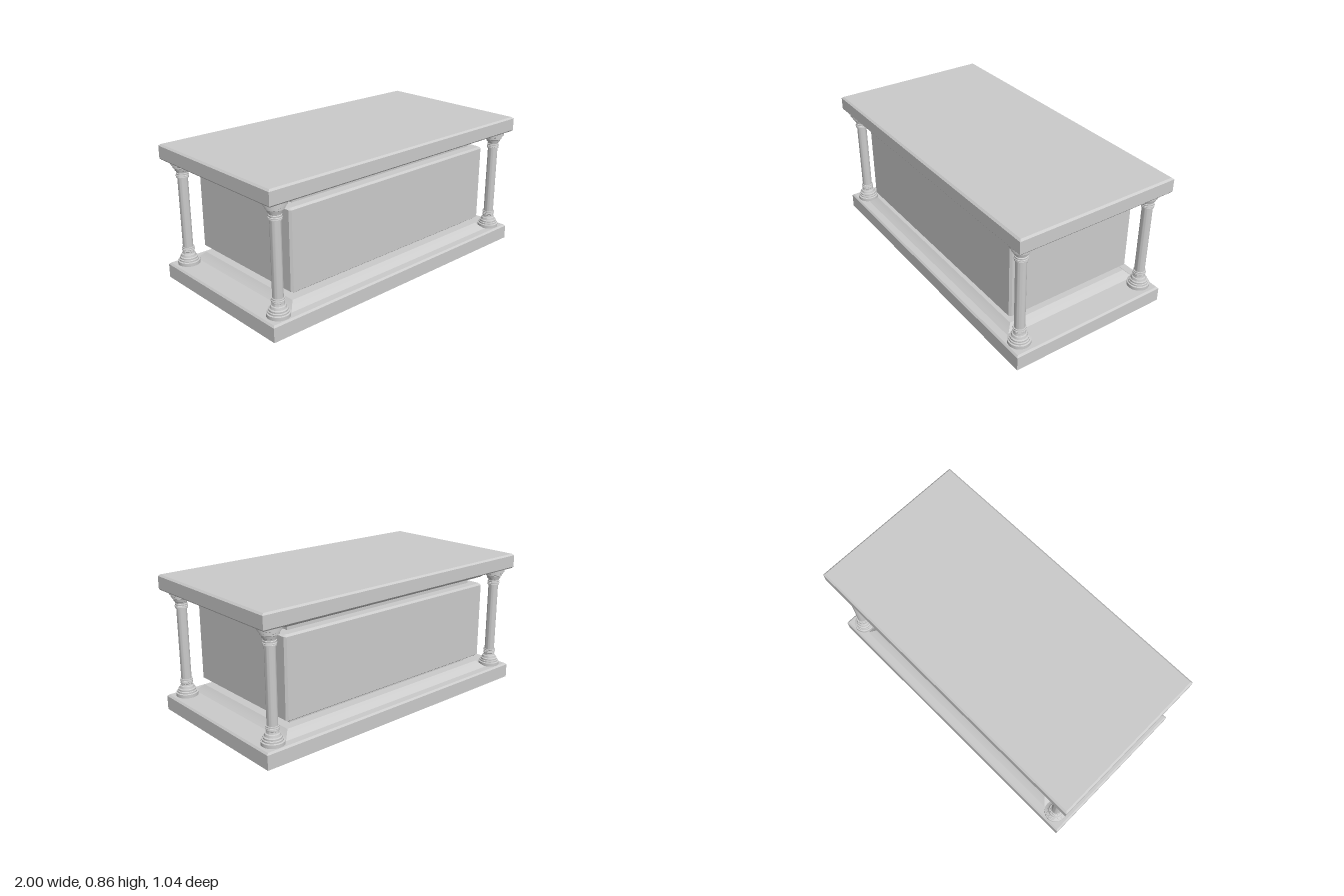
import * as THREE from 'three';
import { toCreasedNormals } from 'three/addons/utils/BufferGeometryUtils.js';

const material = new THREE.MeshStandardMaterial({ color: 0xcccccc, side: THREE.DoubleSide });

// Corners of a rectangle at height y, counter-clockwise from above; cut chamfers the corners
function ring([hx, hz, y], cut) {
  if (!cut) return [[hx, y, hz], [hx, y, -hz], [-hx, y, -hz], [-hx, y, hz]];
  const cx = hx - cut, cz = hz - cut;
  return [[cx, y, hz], [hx, y, cz], [hx, y, -cz], [cx, y, -hz],
    [-cx, y, -hz], [-hx, y, -cz], [-hx, y, cz], [-cx, y, hz]];
}

// Open shell through rectangular sections, listed from bottom to top
function shell(name, sections, { cut = 0, capped = false } = {}) {
  const rings = sections.map((s) => ring(s, cut));
  const n = rings[0].length;
  const pos = [];
  for (let i = 0; i < rings.length - 1; i++) {
    for (let j = 0; j < n; j++) {
      const k = (j + 1) % n;
      const a = rings[i][j], b = rings[i][k], c = rings[i + 1][k], d = rings[i + 1][j];
      pos.push(...a, ...b, ...c, ...a, ...c, ...d);
    }
  }
  if (capped) {
    const top = rings[rings.length - 1];
    for (let j = 1; j < n - 1; j++) pos.push(...top[0], ...top[j], ...top[j + 1]);
  }
  const geometry = new THREE.BufferGeometry();
  geometry.setAttribute('position', new THREE.Float32BufferAttribute(pos, 3));
  geometry.computeVertexNormals();
  const mesh = new THREE.Mesh(toCreasedNormals(geometry, 0.5), material);
  mesh.name = name;
  return mesh;
}

// Shallow cove from the slab (y0) towards the chest (y1)
function cove(y0, y1) {
  const out = [];
  for (let i = 0; i <= 4; i++) {
    const t = i / 4;
    const inset = 0.045 * (t + 0.2 * t * (1 - t));
    out.push([0.838 - inset, 0.467 - inset, y0 + (y1 - y0) * t]);
  }
  return out;
}

export function createModel() {
  const model = new THREE.Group();
  const HX = 1, HZ = 0.522, NX = 0.735, NZ = 0.364, CX = 0.8, CZ = 0.43;
  const LOW = 0.097, HIGH = 0.761;

  // Plinth, hollow below, with its cove moulding and lower neck
  model.add(shell('plinth', [
    [HX, HZ, 0], [HX, HZ, 0.087], [HX - 0.01, HZ - 0.01, LOW],
    ...cove(LOW, 0.139), [NX, NZ, 0.139], [NX, NZ, 0.179],
  ]));

  // Chest body with bevelled edges
  const b = 0.012;
  model.add(shell('chest', [
    [NX, NZ, 0.179], [CX - b, CZ - b, 0.179], [CX, CZ, 0.188],
    [CX, CZ, 0.664], [CX - b, CZ - b, 0.675], [NX, NZ, 0.675],
  ], { cut: b }));

  // Upper neck, cove moulding and lid slab
  model.add(shell('lid', [
    [NX, NZ, 0.675], [NX, NZ, 0.718], ...cove(HIGH, 0.718).reverse(),
    [HX - 0.006, HZ - 0.006, HIGH], [HX, HZ, 0.769], [HX, HZ, 0.845],
    [HX - 0.011, HZ - 0.011, 0.855],
  ], { capped: true }));

  // Turned column: one foot profile [radius, distance from the end], mirrored for the capital
  const foot = [
    [0, 0], [0.067, 0], [0.067, 0.021], [0.059, 0.024], [0.059, 0.033], [0.053, 0.036],
    [0.053, 0.046], [0.046, 0.05], [0.042, 0.064], [0.036, 0.067], [0.033, 0.078],
    [0.037, 0.081], [0.037, 0.089], [0.033, 0.09], [0.039, 0.093], [0.039, 0.098],
    [0.033, 0.1], [0.037, 0.102], [0.037, 0.109], [0.031, 0.11],
  ];
  const profile = [
    ...foot.map(([r, d]) => new THREE.Vector2(r, LOW + d)),
    ...foot.map(([r, d]) => new THREE.Vector2(r, HIGH - d)).reverse(),
  ];
  const columnGeometry = toCreasedNormals(new THREE.LatheGeometry(profile, 28), 0.6);
  for (const sx of [1, -1]) {
    for (const sz of [1, -1]) {
      const column = new THREE.Mesh(columnGeometry, material);
      column.name = (sz > 0 ? 'front' : 'back') + (sx > 0 ? 'Left' : 'Right') + 'Column';
      column.position.set(sx * 0.905, 0, sz * 0.441);
      model.add(column);
    }
  }
  return model;
}
